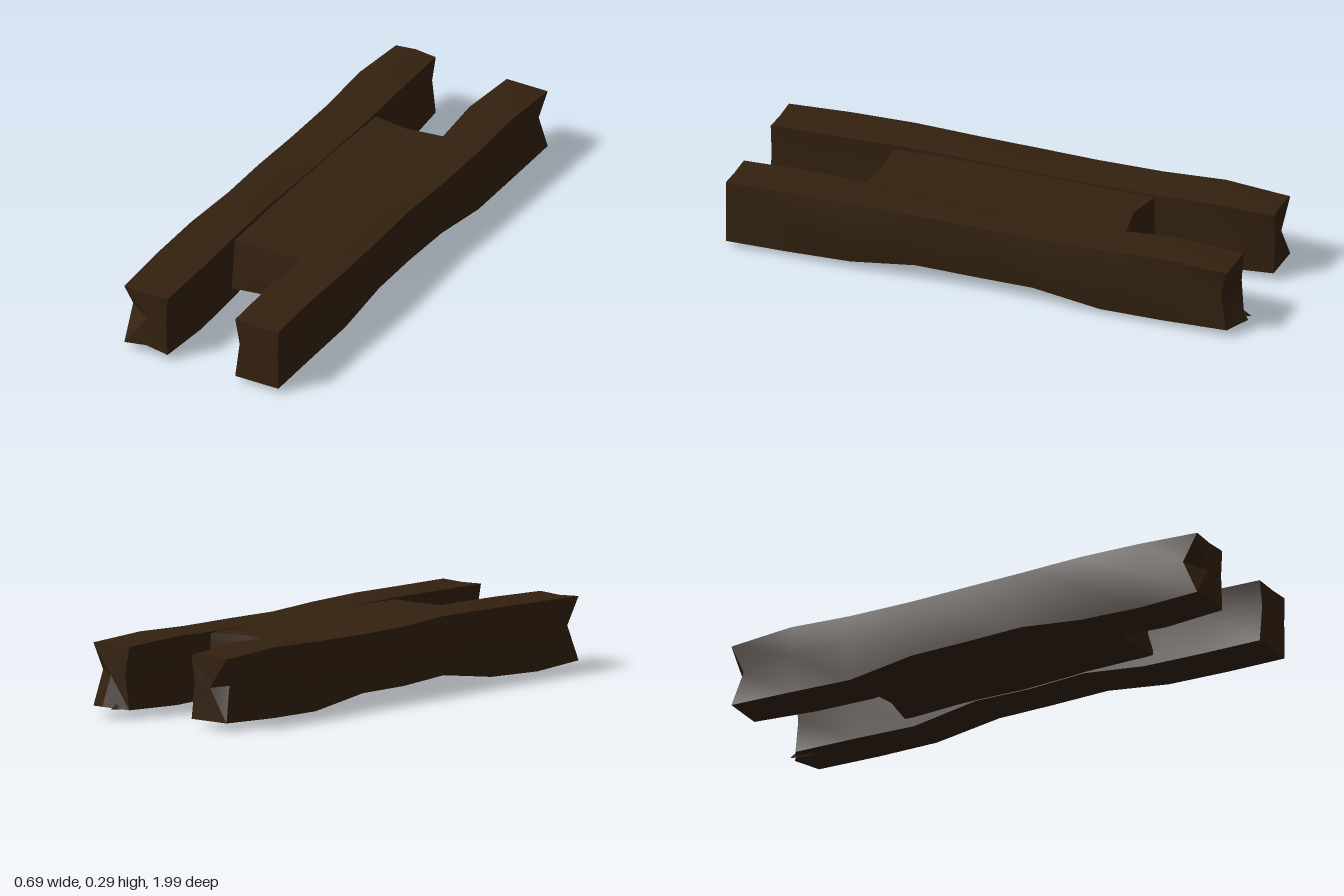
import * as THREE from 'three';
import { toCreasedNormals } from 'three/addons/utils/BufferGeometryUtils.js';

const wood = new THREE.MeshStandardMaterial({ color: 0x33210f, roughness: 0.9 });

// Joins rings of points (counter-clockwise seen from +z, back to front) and caps both ends.
function loft(name, rings) {
  const n = rings[0].length;
  const pos = rings.flat(2);
  const index = [];
  for (let i = 0; i < rings.length - 1; i++) {
    for (let j = 0; j < n; j++) {
      const a = i * n + j, b = i * n + ((j + 1) % n);
      index.push(a, b, b + n, a, b + n, a + n);
    }
  }
  const last = (rings.length - 1) * n;
  for (const [start, front] of [[0, false], [last, true]]) {
    const ring = rings[start / n];
    const centre = pos.length / 3;
    for (let k = 0; k < 3; k++) pos.push(ring.reduce((s, p) => s + p[k], 0) / n);
    for (let j = 0; j < n; j++) {
      const a = start + j, b = start + ((j + 1) % n);
      index.push(centre, front ? a : b, front ? b : a);
    }
  }
  const geo = new THREE.BufferGeometry();
  geo.setAttribute('position', new THREE.Float32BufferAttribute(pos, 3));
  geo.setIndex(index);
  const mesh = new THREE.Mesh(toCreasedNormals(geo, 0.5), wood);
  mesh.name = name;
  return mesh;
}

// Eight-point beam section: four corners plus a swollen or hollow middle on each side.
function section({ z, x: [x0, x1], y: [y0, y1], side: [s0, s1], top = 0, bottom = 0, dz = {} }) {
  const xm = (x0 + x1) / 2, ym = 0.16;
  return [
    [x1, y0], [x1 + s1, ym], [x1, y1], [xm, y1 + top],
    [x0, y1], [x0 - s0, ym], [x0, y0], [xm, y0 - bottom],
  ].map(([x, y], j) => [x, y, z + (dz[j] || 0)]);
}

export function createModel() {
  const model = new THREE.Group();
  model.name = 'timberFrame';

  // Rail on the model's left, with a splinter at its lower back end
  model.add(loft('leftRail', [
    { z: -0.95, x: [0.145, 0.315], y: [0.03, 0.26], side: [-0.02, -0.02], bottom: -0.01, dz: { 1: 0.03, 7: -0.05 } },
    { z: -0.7, x: [0.135, 0.31], y: [0.02, 0.27], side: [0.01, 0.015], top: 0.01 },
    { z: -0.46, x: [0.15, 0.312], y: [0.02, 0.26], side: [0, 0.008], bottom: 0.005 },
    { z: -0.2, x: [0.14, 0.31], y: [0.055, 0.258], side: [0, 0.015], top: 0.005 },
    { z: 0.02, x: [0.14, 0.3], y: [0.05, 0.256], side: [0, 0.005], top: 0.008 },
    { z: 0.25, x: [0.14, 0.312], y: [0.06, 0.262], side: [0, 0.006], top: 0.012 },
    { z: 0.5, x: [0.14, 0.318], y: [0.03, 0.265], side: [-0.008, 0.023], top: 0.006, bottom: 0.01 },
    { z: 0.75, x: [0.133, 0.313], y: [0.02, 0.262], side: [-0.01, 0.006], bottom: 0.005 },
    { z: 0.98, x: [0.138, 0.317], y: [0.02, 0.258], side: [-0.018, -0.003], top: -0.003 },
  ].map(section)));

  // Rail on the model's right, with a split in its outer front end
  model.add(loft('rightRail', [
    { z: -0.95, x: [-0.315, -0.15], y: [0.03, 0.262], side: [-0.02, -0.015], top: 0.008, dz: { 5: 0.04 } },
    { z: -0.7, x: [-0.322, -0.135], y: [0.02, 0.277], side: [0.006, 0.012], top: 0.012 },
    { z: -0.46, x: [-0.315, -0.135], y: [0.015, 0.268], side: [0.012, 0], bottom: 0.015 },
    { z: -0.2, x: [-0.318, -0.14], y: [0.05, 0.264], side: [0.008, 0], top: 0.004 },
    { z: 0.02, x: [-0.322, -0.14], y: [0.05, 0.266], side: [0.01, 0], top: 0.004 },
    { z: 0.25, x: [-0.312, -0.14], y: [0.06, 0.275], side: [0.005, 0], top: 0.012 },
    { z: 0.5, x: [-0.325, -0.138], y: [0.025, 0.274], side: [0.017, -0.005], top: 0.004, bottom: 0.005 },
    { z: 0.75, x: [-0.327, -0.135], y: [0.015, 0.268], side: [0.018, -0.003], bottom: 0.005 },
    { z: 0.985, x: [-0.32, -0.14], y: [0.026, 0.26], side: [-0.002, -0.008], top: -0.005, bottom: -0.014, dz: { 5: -0.06 } },
  ].map(section)));

  // Wide centre slab, its ends curving in toward the middle
  const edge = 0.17;
  model.add(loft('centreSlab', [
    { z: -0.5, x: [-edge, edge], y: [0.055, 0.256], side: [0, 0], top: 0.004, dz: { 3: 0.03, 7: 0.03 } },
    { z: -0.25, x: [-edge, edge], y: [0.06, 0.258], side: [0, 0], top: 0.004, bottom: 0.005 },
    { z: 0, x: [-edge, edge], y: [0.055, 0.26], side: [0, 0], top: 0.004, bottom: 0.01 },
    { z: 0.25, x: [-edge, edge], y: [0.065, 0.262], side: [0, 0], top: 0.002, bottom: 0.003 },
    { z: 0.51, x: [-edge, edge], y: [0.066, 0.258], side: [0, 0], top: 0.002, bottom: -0.004, dz: { 0: 0.03, 3: -0.01, 6: 0.02 } },
  ].map(section)));

  // Splinter sticking out behind the left rail
  const splinter = new THREE.Mesh(new THREE.ConeGeometry(0.035, 0.1, 4), wood);
  splinter.name = 'splinter';
  splinter.rotation.x = -Math.PI / 2 - 0.2;
  splinter.position.set(0.19, 0.045, -0.95);
  model.add(splinter);

  return model;
}
